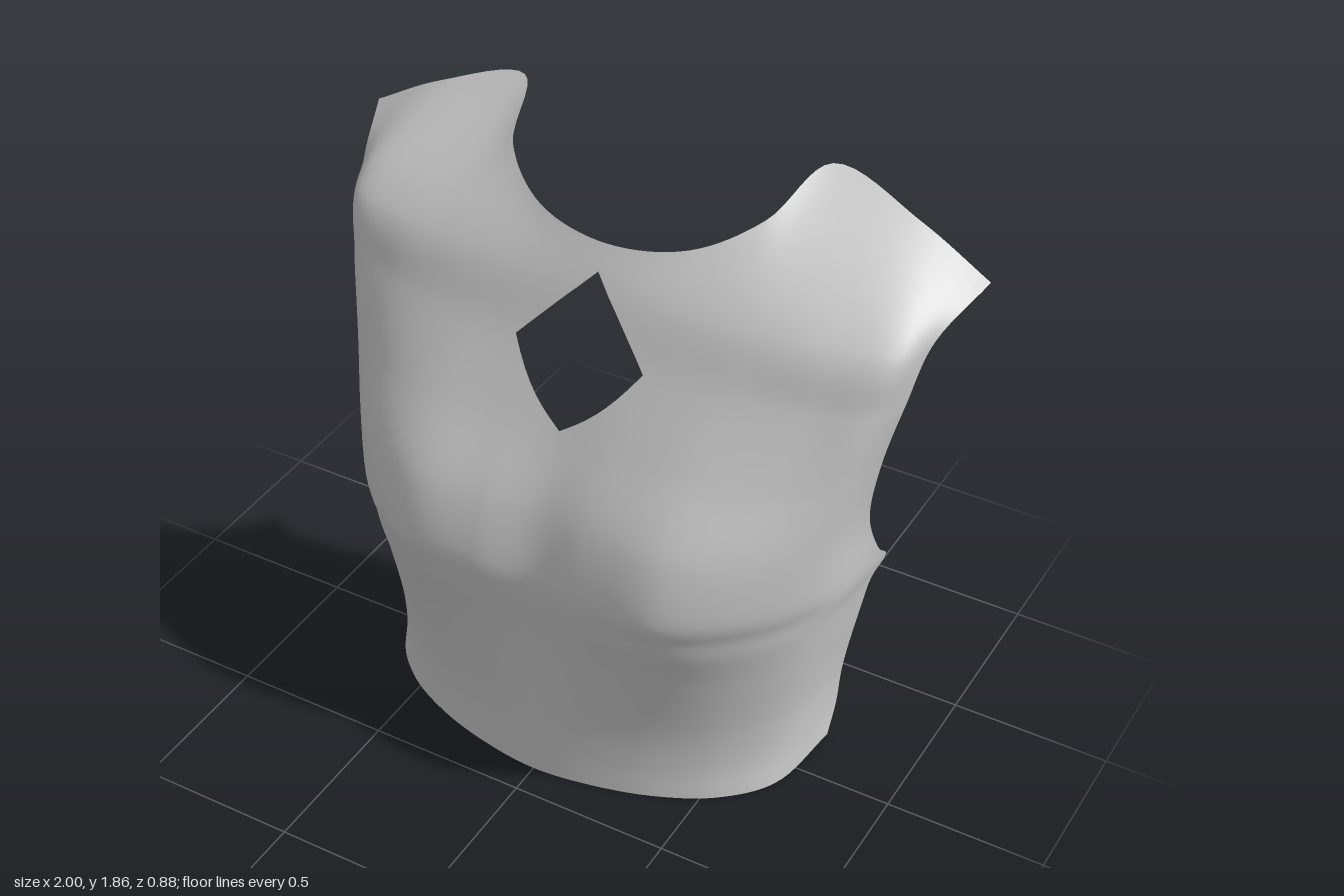
import * as THREE from 'three';

// Cross-sections: height, half width, z of the side edge, z of the centre line
const SECTIONS = [
  [0, .71, -.18, .4], [.1, .712, -.225, .395], [.25, .722, -.23, .39], [.5, .765, -.23, .385],
  [.63, .79, -.24, .388], [.69, .81, -.285, .39], [.76, .812, -.22, .385], [.95, .815, -.125, .33],
  [1.17, .85, -.1, .22], [1.37, .895, -.125, .115], [1.54, .93, -.2, .03],
];
// Half of the top edge: neckline to the neck corner, then the shoulder seam
const TOP_EDGE = [
  [0, 1.65, -.04], [.24, 1.68, -.085], [.405, 1.76, -.21],
  [.497, 1.855, -.43], [.78, 1.765, -.41], [1, 1.645, -.4],
];
const TOP = 1.65;
const HEIGHTS = [...SECTIONS.map((s) => s[0]), TOP];

// Rounded half section with a bust swelling that fades across and up
function halfSection([y, width, edgeZ, centreZ]) {
  return TOP_EDGE.map((_, k) => {
    const angle = k * Math.PI / 10;
    const bust = .12 * Math.exp(-((k - 2.2) ** 2) / 2 - ((y - .82) ** 2) / .146);
    const round = Math.max(0, Math.cos(angle)) ** .65;
    const fade = k === 5 ? 0 : 1;
    return [width * Math.sin(angle) ** 1.25, y, edgeZ + (centreZ - edgeZ) * round + bust * fade];
  });
}

// Full-width curves, mirrored in x
const rowCurves = [...SECTIONS.map(halfSection), TOP_EDGE].map((half) => {
  const side = (s) => half.map(([x, y, z]) => new THREE.Vector3(s * x, y, z));
  return new THREE.CatmullRomCurve3([...side(-1).slice(1).reverse(), ...side(1)]);
});

// Vertical curve of the cloth at station u (-5 right edge, 0 centre, 5 left edge)
function columnAt(u) {
  const curve = new THREE.CatmullRomCurve3(rowCurves.map((c) => c.getPoint((u + 5) / 10)));
  return (w) => {
    let i = 0;
    while (i < HEIGHTS.length - 2 && w > HEIGHTS[i + 1]) i++;
    const t = (w - HEIGHTS[i]) / (HEIGHTS[i + 1] - HEIGHTS[i]);
    return curve.getPoint(Math.min(1, (i + t) / (HEIGHTS.length - 1)));
  };
}

// Diagonal seam under the bust; the two panels part at the centre into a diamond opening
const seam = (a) => 1.37 - .18 * (a - 1) - .005 * (a - 1) ** 2;
function lowerEdge(u) {
  const a = Math.abs(u);
  return a < 1 ? 1.17 + .12 * a + .08 * a ** 3 : seam(a);
}
function upperEdge(u) {
  const a = Math.abs(u);
  return a < 1 ? 1.58 - .21 * a : seam(a);
}

// Cloth panel between two edges over a range of stations
function panel(name, u0, u1, nu, bottom, top, material) {
  const nw = 60, pos = [], index = [];
  for (let i = 0; i <= nu; i++) {
    const u = u0 + (u1 - u0) * i / nu, at = columnAt(u), b = bottom(u), t = top(u);
    for (let j = 0; j <= nw; j++) pos.push(...at(b + (t - b) * j / nw).toArray());
  }
  for (let i = 0; i < nu; i++) {
    for (let j = 0; j < nw; j++) {
      const a = i * (nw + 1) + j, b = a + nw + 1;
      index.push(a, b, b + 1, a, b + 1, a + 1);
    }
  }
  const geometry = new THREE.BufferGeometry();
  geometry.setAttribute('position', new THREE.Float32BufferAttribute(pos, 3));
  geometry.setIndex(index);
  geometry.computeVertexNormals();
  const mesh = new THREE.Mesh(geometry, material);
  mesh.name = name;
  return mesh;
}

export function createModel() {
  const group = new THREE.Group();
  group.name = 'sleevelessTop';
  const cloth = new THREE.MeshStandardMaterial({ color: 0xcccccc, side: THREE.DoubleSide });
  const hem = () => 0, neckline = () => TOP, rim = 4.875;

  group.add(panel('lowerBodice', -5, 5, 80, hem, lowerEdge, cloth));
  group.add(panel('upperYoke', -rim, rim, 78, upperEdge, neckline, cloth));

  // Narrow bands finishing the armholes
  group.add(panel('rightArmholeBand', -5, -rim, 2, upperEdge, neckline, cloth));
  group.add(panel('leftArmholeBand', rim, 5, 2, upperEdge, neckline, cloth));
  return group;
}
